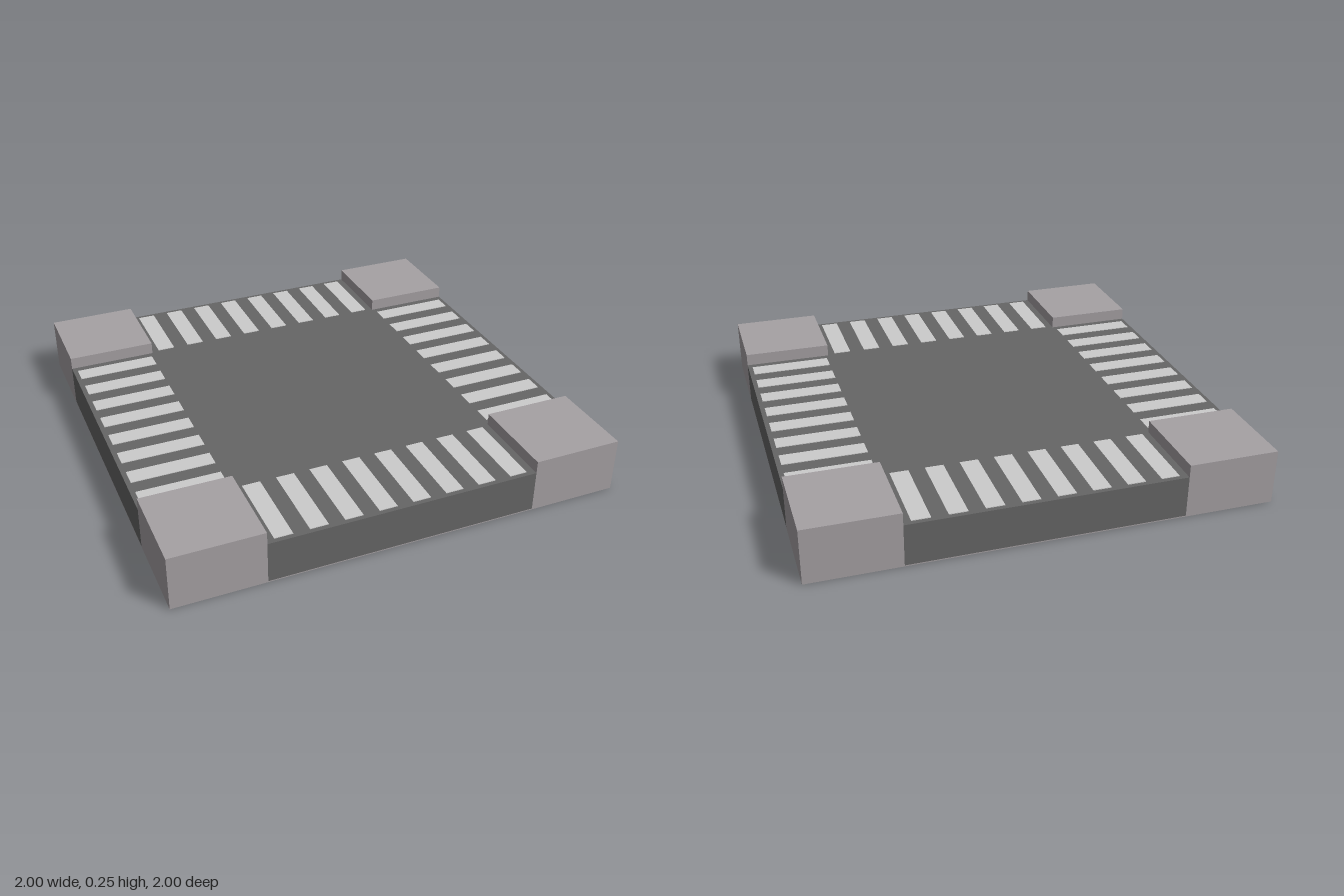
import * as THREE from 'three';

const asphalt = new THREE.MeshStandardMaterial({ name: 'asphalt', color: 0x666666 });
const pavement = new THREE.MeshStandardMaterial({ name: 'pavement', color: 0xa6a1a4 });
const paint = new THREE.MeshStandardMaterial({ name: 'crossing paint', color: 0xcccccc });

const BASE = 0.005, ROAD = 0.19, KERB = 0.245, INNER = 0.6;

// Box from its size, centre in plan and bottom height
function box(parent, name, material, w, h, d, x, y, z) {
  const mesh = new THREE.Mesh(new THREE.BoxGeometry(w, h, d), material);
  mesh.name = name;
  mesh.position.set(x, y + h / 2, z);
  parent.add(mesh);
  return mesh;
}

export function createModel() {
  const model = new THREE.Group();
  model.name = 'crossroads';

  // Thin slab under the whole tile
  box(model, 'basePlate', pavement, 2, BASE, 2, 0, 0, 0);

  // Cross-shaped road body
  const h = ROAD - BASE, arm = 1 - INNER, mid = (1 + INNER) / 2;
  box(model, 'roadThrough', asphalt, 2 * INNER, h, 2, 0, BASE, 0);
  for (const s of [-1, 1]) {
    box(model, 'roadArm', asphalt, arm, h, 2 * INNER, s * mid, BASE, 0);
  }

  // Raised pavement corners
  for (const sx of [-1, 1]) for (const sz of [-1, 1]) {
    box(model, 'pavementCorner', pavement, arm, KERB - BASE, arm, sx * mid, BASE, sz * mid);
  }

  // Four crossings of eight painted stripes, one on each arm
  for (let side = 0; side < 4; side++) {
    const crossing = new THREE.Group();
    crossing.name = 'crossing';
    crossing.rotation.y = side * Math.PI / 2;
    for (let i = 0; i < 8; i++) {
      box(crossing, 'crossingStripe', paint, 0.08, 0.003, 0.367, (i - 3.5) * 0.15, ROAD, 0.796);
    }
    model.add(crossing);
  }
  return model;
}
